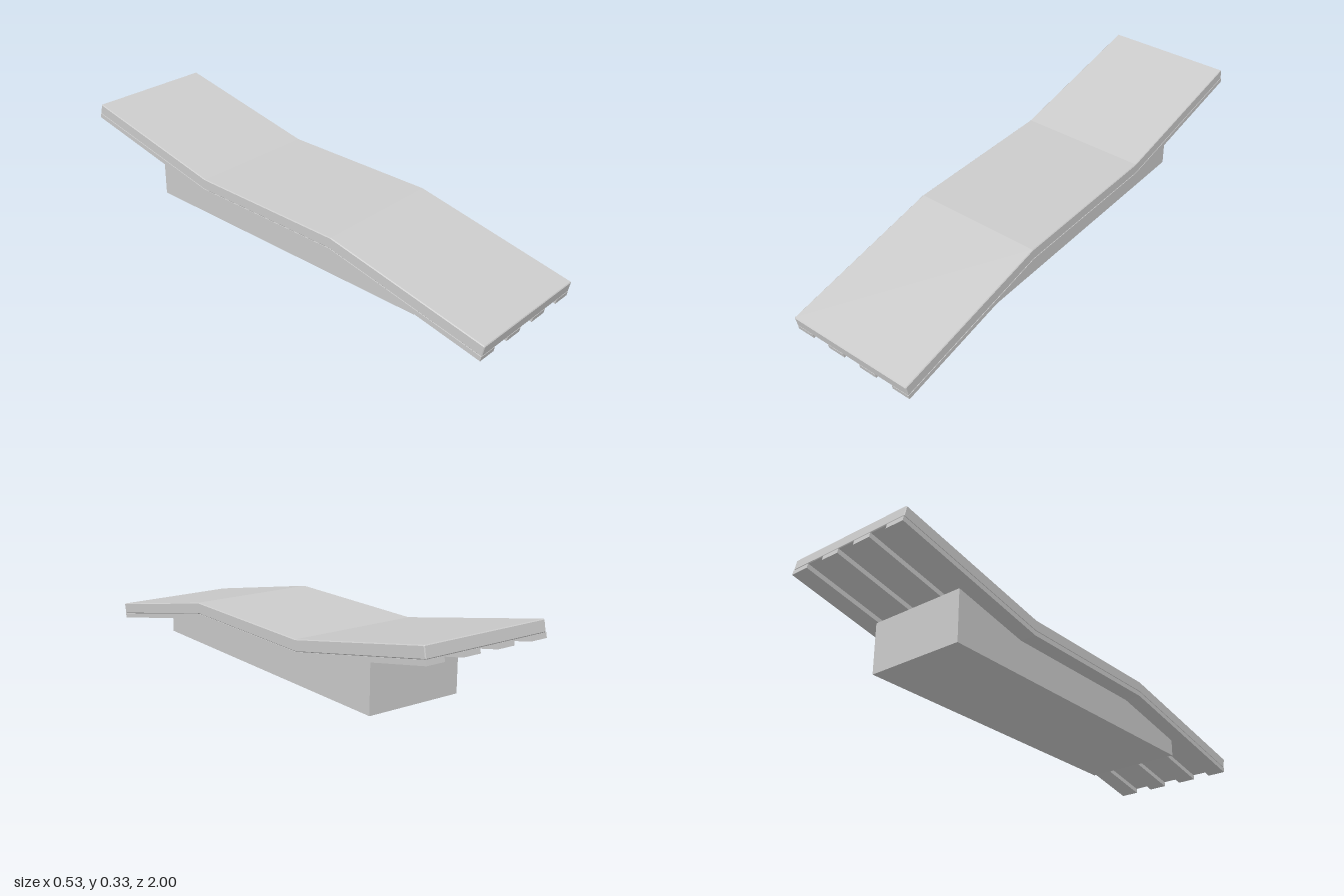
import * as THREE from 'three';

const WIDTH = 0.53;
const CUSHION = 0.045;  // cushion thickness
const TOTAL = 0.064;    // cushion plus slats
const BEVEL = 0.003;

const material = new THREE.MeshStandardMaterial({ color: 0xcccccc, flatShading: true });

// Lounging line as [z, y], offset down by t, its ends drawn in by e
function loungeLine(t, e = 0) {
  return [
    [1 - 0.198 * t - 0.98 * e, 0.065 - 0.98 * t + 0.198 * e],
    [0.333 - 0.1 * t, 0.2 - t],
    [-0.333 - 0.1 * t, 0.2 - t],
    [-0.987 - 0.198 * t + 0.98 * e, 0.332 - 0.98 * t - 0.198 * e],
  ];
}

// Side profile [z, y] extruded across x, centred on x
function extrudeAcross(name, profile, width, bevel = 0) {
  const shape = new THREE.Shape(profile.map(([z, y]) => new THREE.Vector2(z, y)));
  const depth = width - 2 * bevel;
  const geometry = new THREE.ExtrudeGeometry(shape, {
    depth,
    bevelEnabled: bevel > 0,
    bevelSize: bevel,
    bevelThickness: bevel,
    bevelOffset: -bevel,
    bevelSegments: 1,
  });
  geometry.translate(0, 0, -depth / 2).rotateY(-Math.PI / 2);
  const mesh = new THREE.Mesh(geometry, material);
  mesh.name = name;
  return mesh;
}

export function createModel() {
  const lounger = new THREE.Group();
  lounger.name = 'lounger';

  // Cushion with chamfered edges all round
  const upper = loungeLine(BEVEL);
  const lower = loungeLine(CUSHION - BEVEL);
  lounger.add(extrudeAcross('cushion', [
    ...loungeLine(0, BEVEL),
    upper[3], lower[3],
    ...loungeLine(CUSHION, BEVEL).reverse(),
    lower[0], upper[0],
  ], WIDTH, BEVEL));

  // Four bent slats running the full length beneath the cushion
  const slats = new THREE.Group();
  slats.name = 'slats';
  const slatWidth = WIDTH / 7;
  const slatProfile = [...loungeLine(CUSHION), ...loungeLine(TOTAL).reverse()];
  for (let i = 0; i < 4; i++) {
    const slat = extrudeAcross('slat', slatProfile, slatWidth);
    slat.position.x = (i - 1.5) * 2 * slatWidth;
    slats.add(slat);
  }
  lounger.add(slats);

  // Solid plinth whose top follows the slats
  const [, frontKnee, backKnee] = loungeLine(TOTAL);
  lounger.add(extrudeAcross('base', [
    [0.665, 0], [0.665, 0.067], frontKnee, backKnee, [-0.665, 0.202], [-0.665, 0],
  ], 0.4));

  return lounger;
}
